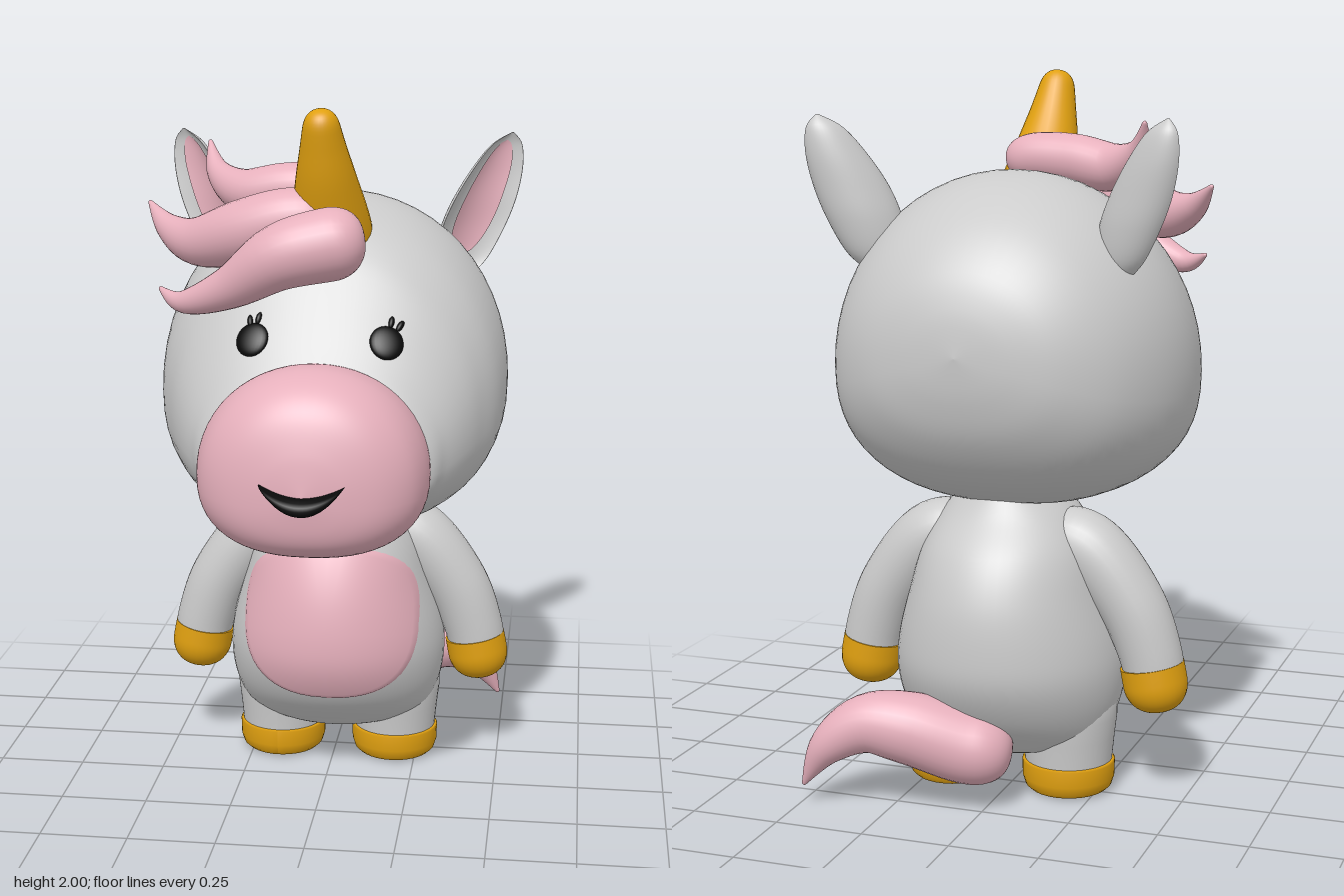
import * as THREE from 'three';

const mat = (color, side = THREE.FrontSide) => new THREE.MeshStandardMaterial({ color, side });
const GREY = mat(0xcccccc), PINK = mat(0xe6b0bc), GOLD = mat(0xe0a010), BLACK = mat(0x0a0a0a);
const PINK_THIN = mat(0xe6b0bc, THREE.DoubleSide);
const V = (x, y, z) => new THREE.Vector3(x, y, z);
const TAU = Math.PI * 2;

// Smooth interpolation through rows of numbers, t in 0..1
function sample(rows, t) {
  const n = rows.length - 1, f = t * n, i = Math.min(Math.floor(f), n - 1), u = f - i;
  const row = (k) => rows[Math.max(0, Math.min(n, k))];
  return rows[0].map((_, c) => {
    const a = row(i - 1)[c], b = row(i)[c], d = row(i + 1)[c], e = row(i + 2)[c];
    return b + 0.5 * u * (d - a + u * (2 * a - 5 * b + 4 * d - e + u * (3 * (b - d) + e - a)));
  });
}

// Cosine or sine bent towards a superellipse of exponent n
const bend = (v, n) => Math.sign(v) * Math.pow(Math.abs(v), 2 / n);

// Skin over rings of points that run counter-clockwise about the loft direction
function loft(rings, capStart = true, capEnd = true) {
  const m = rings[0].length, pts = rings.flat(), index = [];
  for (let i = 0; i < rings.length - 1; i++) {
    for (let j = 0; j < m; j++) {
      const a = i * m + j, b = i * m + (j + 1) % m;
      index.push(a, b, b + m, a, b + m, a + m);
    }
  }
  const cap = (ring, base, flip) => {
    const c = pts.length;
    pts.push(ring.reduce((s, p) => s.add(p), V(0, 0, 0)).divideScalar(m));
    for (let j = 0; j < m; j++) {
      const a = base + j, b = base + (j + 1) % m;
      index.push(c, flip ? b : a, flip ? a : b);
    }
  };
  if (capStart) cap(rings[0], 0, true);
  if (capEnd) cap(rings[rings.length - 1], (rings.length - 1) * m, false);
  const geo = new THREE.BufferGeometry().setFromPoints(pts);
  geo.setIndex(index);
  geo.computeVertexNormals();
  return geo;
}

const makeRings = (steps, segs, fn) => Array.from({ length: steps + 1 }, (_, i) =>
  Array.from({ length: segs }, (_, j) => fn(i / steps, (j / segs) * TAU)));

// Tapered tube through rows [x, y, z, radius] with rounded ends
function taperTube(rows, roundStart = true) {
  const at = (t) => V(...sample(rows, t));
  const first = at(0), last = at(1);
  const round = (d, r) => {
    const s = Math.min(1, d / r);
    return Math.pow(1 - Math.pow(1 - s, 2.4), 1 / 2.4);
  };
  return loft(makeRings(44, 28, (u, a) => {
    const t = (1 - Math.cos(Math.PI * u)) / 2;
    const p = at(t), r = Math.max(0.003, sample(rows, t)[3]);
    const dir = at(Math.min(1, t + 0.01)).sub(at(Math.max(0, t - 0.01))).normalize();
    const side = V(0, 0, 1).cross(dir).normalize(), up = dir.clone().cross(side);
    let k = round(p.distanceTo(last), r);
    if (roundStart) k *= round(p.distanceTo(first), r);
    const q = Math.max(0.001, r * k);
    return p.addScaledVector(side, q * Math.cos(a)).addScaledVector(up, q * Math.sin(a));
  }));
}

// Rounded volume along z through rows [z, half width, top, bottom], widest below the middle
function headLoft(rows) {
  return loft(makeRings(64, 56, (t, a) => {
    const [z, hw, top, bottom] = sample(rows, t);
    const cy = bottom + 0.42 * (top - bottom), s = Math.sin(a), n = s > 0 ? 2.05 : 2.4;
    return V(Math.max(0.001, hw) * bend(Math.cos(a), n),
      cy + (s > 0 ? top - cy : cy - bottom) * bend(s, n), z);
  }));
}

function mirrored(geo) {
  const g = geo.clone(), ix = g.index.array;
  g.scale(-1, 1, 1);
  for (let i = 0; i < ix.length; i += 3) [ix[i + 1], ix[i + 2]] = [ix[i + 2], ix[i + 1]];
  g.computeVertexNormals();
  return g;
}

// Torso rows: [y, half width, front z, back z]
const TORSO = [
  [0.12, 0.002, -0.23, -0.232], [0.125, 0.17, -0.1, -0.36], [0.17, 0.27, -0.03, -0.42],
  [0.25, 0.31, 0.05, -0.49], [0.35, 0.325, 0.1, -0.54], [0.45, 0.315, 0.11, -0.55],
  [0.58, 0.28, 0.09, -0.535], [0.7, 0.245, 0.045, -0.485], [0.8, 0.19, -0.02, -0.4],
  [0.86, 0.13, -0.06, -0.36],
];

function torsoFront(x, y) {
  let lo = 0, hi = 1;
  for (let i = 0; i < 30; i++) {
    const mid = (lo + hi) / 2;
    if (sample(TORSO, mid)[0] < y) lo = mid; else hi = mid;
  }
  const [, hw, f, b] = sample(TORSO, lo);
  return (f + b) / 2 + ((f - b) / 2) * Math.sqrt(Math.max(0, 1 - (x / hw) ** 2));
}

// Cupped ear and its lining
function earGeometries() {
  const rows = [ // x, y, z, half width
    [0.335, 1.455, -0.335, 0.03], [0.35, 1.51, -0.335, 0.08], [0.38, 1.6, -0.34, 0.103],
    [0.415, 1.69, -0.35, 0.103], [0.45, 1.78, -0.37, 0.083], [0.475, 1.85, -0.388, 0.05],
    [0.49, 1.885, -0.4, 0.004],
  ];
  const N = V(0.5, 0, 0.866), W = V(0.866, 0, -0.5);
  const place = (t, across, out) => {
    const [x, y, z, w] = sample(rows, t);
    return V(x, y, z).addScaledVector(W, w * across).addScaledVector(N, w * out);
  };
  const shell = loft(makeRings(36, 36, (t, a) => {
    const c = Math.cos(a);
    return place(t, Math.sin(a), c > 0 ? -0.35 * c * c : 0.7 * c);
  }));
  const lining = new THREE.PlaneGeometry(1, 1, 10, 24), pos = lining.attributes.position;
  for (let i = 0; i < pos.count; i++) {
    const v = pos.getY(i) * 2;
    const c = pos.getX(i) * 2 * 0.6 * Math.sqrt(Math.max(0, 1 - v ** 4));
    const p = place(0.54 + 0.34 * v, c, -0.35 * (1 - c * c) + 0.08);
    pos.setXYZ(i, p.x, p.y, p.z);
  }
  lining.computeVertexNormals();
  return [shell, lining];
}

export function createModel() {
  const model = new THREE.Group();
  const body = new THREE.Group(); // mirror-symmetric parts
  body.name = 'body';
  body.position.x = 0.01;
  model.add(body);
  const add = (parent, name, geo, material) => {
    const mesh = new THREE.Mesh(geo, material);
    mesh.name = name;
    parent.add(mesh);
    return mesh;
  };
  const pair = (name, geo, material) => {
    add(body, 'left' + name, geo, material);
    add(body, 'right' + name, mirrored(geo), material);
  };

  // Head and muzzle
  add(body, 'head', headLoft([
    [-0.66, 0, 1.281, 1.28], [-0.645, 0.15, 1.4, 1.16], [-0.6, 0.28, 1.51, 1.04],
    [-0.5, 0.395, 1.62, 0.92], [-0.35, 0.47, 1.705, 0.84], [-0.18, 0.5, 1.735, 0.812],
    [0, 0.485, 1.69, 0.805], [0.12, 0.44, 1.6, 0.815], [0.2, 0.4, 1.48, 0.84],
    [0.27, 0.355, 1.37, 0.865], [0.33, 0.31, 1.28, 0.9], [0.36, 0.2, 1.2, 0.97],
  ]), GREY);
  add(body, 'muzzle', headLoft([
    [0.2, 0.27, 1.28, 0.86], [0.25, 0.3, 1.315, 0.842], [0.33, 0.315, 1.335, 0.83],
    [0.42, 0.31, 1.338, 0.828], [0.5, 0.28, 1.31, 0.845], [0.56, 0.215, 1.25, 0.875],
    [0.595, 0.12, 1.15, 0.93], [0.611, 0.002, 1.041, 1.04],
  ]), PINK);

  // Smiling mouth, a bent spindle
  add(body, 'mouth', loft(makeRings(32, 16, (u, a) => {
    const t = -Math.cos(Math.PI * u), k = Math.max(0.001, 1 - t * t);
    return V(0.112 * t, 1.015 + 0.055 * t * t + 0.026 * k * Math.cos(a),
      0.6 + 0.055 * Math.pow(k, 0.4) * Math.sin(a));
  })), BLACK);

  // Eyes with two lashes each
  const ball = new THREE.SphereGeometry(1, 24, 16);
  for (const [side, lashes] of [[1, [[0.014, 0.06], [0.038, 0.05]]], [-1, [[-0.014, 0.054], [0.01, 0.062]]]]) {
    const eye = new THREE.Group();
    eye.name = side > 0 ? 'leftEye' : 'rightEye';
    eye.position.set(0.184 * side, 1.378, 0.237);
    eye.quaternion.setFromUnitVectors(V(0, 0, 1), V(0.47 * side, 1, 1.4).normalize());
    add(eye, 'pupil', ball, BLACK).scale.set(0.047, 0.05, 0.016);
    for (const [x, y] of lashes) {
      const lash = add(eye, 'lash', ball, BLACK);
      lash.position.set(x, y, 0);
      lash.scale.set(0.009, 0.02, 0.012);
      lash.rotation.z = -x * 14;
    }
    body.add(eye);
  }

  // Ears
  const [shell, lining] = earGeometries();
  pair('Ear', shell, GREY);
  pair('EarLining', lining, PINK_THIN);

  // Torso and belly patch
  add(body, 'torso', loft(makeRings(56, 56, (t, a) => {
    const [y, hw, f, b] = sample(TORSO, t);
    return V(hw * Math.sin(a), y, (f + b) / 2 + ((f - b) / 2) * Math.cos(a));
  })), GREY);
  add(body, 'bellyPatch', loft(makeRings(24, 56, (t, a) => {
    const r = Math.max(0.01, 1 - t);
    const x = 0.267 * r * bend(Math.cos(a), 2.6), y = 0.5 + 0.232 * r * bend(Math.sin(a), 2.6);
    return V(x, y, torsoFront(x, y) + (t === 0 ? -0.01 : 0.006));
  }), false), PINK);

  // Arms and front hooves
  const az = -0.235;
  pair('Arm', taperTube([[0.1, 0.74, az, 0.08], [0.23, 0.7, az, 0.1], [0.35, 0.56, az, 0.095],
    [0.41, 0.42, az, 0.088], [0.433, 0.29, az, 0.082]]), GREY);
  pair('FrontHoof', taperTube([[0.416, 0.385, az, 0.09], [0.428, 0.32, az, 0.09],
    [0.437, 0.252, az, 0.087]], false), GOLD);

  // Legs and rear hooves
  const lathe = (pts) => new THREE.LatheGeometry(pts.map((p) => new THREE.Vector2(...p)), 40).translate(0.174, 0, az);
  pair('Leg', lathe([[0.122, 0.07], [0.124, 0.1], [0.13, 0.16], [0.137, 0.22], [0.138, 0.28], [0.11, 0.35], [0, 0.38]]), GREY);
  pair('RearHoof', lathe([[0, 0], [0.095, 0], [0.11, 0.004], [0.122, 0.015], [0.13, 0.04],
    [0.131, 0.085], [0.127, 0.09], [0, 0.09]]), GOLD);

  // Horn
  add(model, 'horn', taperTube([[0.02, 1.58, 0, 0.11], [0.018, 1.66, 0.035, 0.113],
    [0.012, 1.8, 0.105, 0.085], [0.008, 1.9, 0.145, 0.062], [0.005, 1.995, 0.178, 0.042]], false), GOLD);

  // Mane locks, from thick root to curled tip
  add(model, 'frontLock', taperTube([[0.13, 1.65, 0.2, 0.095], [0.03, 1.64, 0.22, 0.1], [-0.1, 1.605, 0.235, 0.09],
    [-0.24, 1.515, 0.2, 0.06], [-0.38, 1.462, 0.15, 0.032], [-0.46, 1.49, 0.09, 0.005]]), PINK);
  add(model, 'middleLock', taperTube([[0.04, 1.69, 0.09, 0.07], [-0.08, 1.69, 0.1, 0.088], [-0.22, 1.65, 0.075, 0.09],
    [-0.36, 1.61, 0.01, 0.07], [-0.46, 1.635, -0.07, 0.04], [-0.535, 1.7, -0.15, 0.005]]), PINK);
  add(model, 'backLock', taperTube([[0.08, 1.74, -0.04, 0.055], [0.0, 1.76, -0.045, 0.068], [-0.12, 1.755, -0.055, 0.072],
    [-0.24, 1.74, -0.085, 0.065], [-0.33, 1.785, -0.155, 0.036], [-0.368, 1.87, -0.225, 0.005]]), PINK);

  // Tail
  add(model, 'tail', taperTube([[-0.07, 0.165, -0.45, 0.09], [0.05, 0.175, -0.47, 0.105], [0.2, 0.225, -0.52, 0.1],
    [0.32, 0.235, -0.555, 0.082], [0.42, 0.17, -0.59, 0.052], [0.49, 0.055, -0.6, 0.005]]), PINK);

  return model;
}
